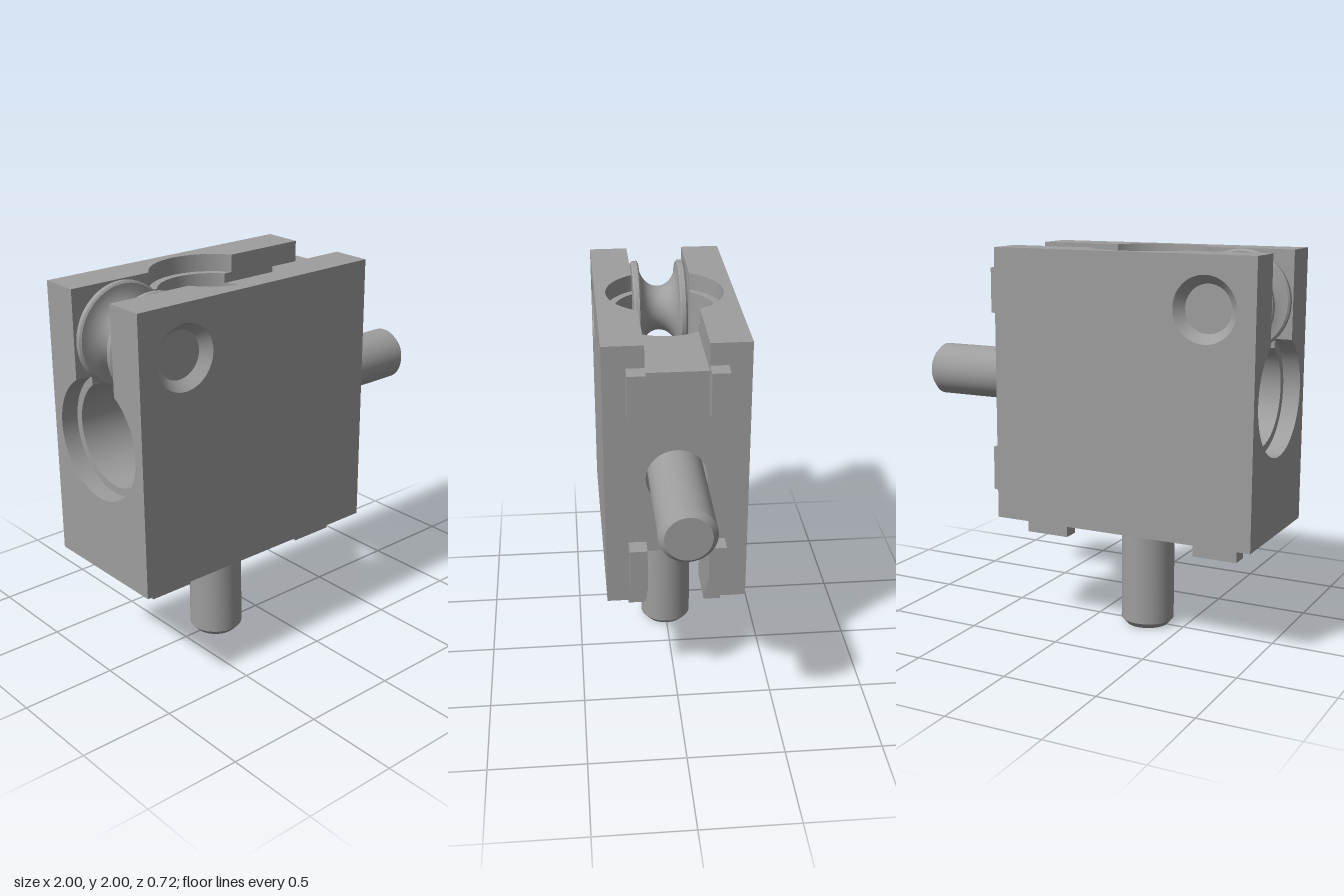
import * as THREE from 'three';
import { toCreasedNormals } from 'three/addons/utils/BufferGeometryUtils.js';
import { ParametricGeometry } from 'three/addons/geometries/ParametricGeometry.js';

const grey = new THREE.MeshStandardMaterial({ color: 0x9e9e9e, side: THREE.DoubleSide });
grey.name = 'grey';

const H = 0.71;      // half size of the square housing
const D = 0.36;      // half thickness
const S = 0.155;     // half width of slots, also rod hole radius
const R = 0.265;     // bore radius
const C = 0.305;     // counterbore radius
const FLOOR = 0.57;  // slot floor, measured from the housing centre
const STEP = 0.62;   // counterbore step
const SEAT = -0.48;  // bore end, where the bolt head sits
const P = 0.24;      // inner edge of the corner pocket
const W = Math.sqrt(R * R - P * P); // half width of the window from bore to pocket
const PULLEY = [-0.45, 0.45];

function add(parent, name, geometry) {
  const mesh = new THREE.Mesh(geometry, grey);
  mesh.name = name;
  parent.add(mesh);
  return mesh;
}

// Flat face across the given axis: 'x' maps (a, b) to (z, y), 'y' to (x, z), 'z' to (x, y)
function face(parent, name, outline, axis, at, holes = []) {
  const shape = outline instanceof THREE.Shape
    ? outline : new THREE.Shape(outline.map(p => new THREE.Vector2(...p)));
  for (const [x, y, r] of holes) shape.holes.push(new THREE.Path().absarc(x, y, r, 0, Math.PI * 2, true));
  const g = new THREE.ShapeGeometry(shape, 40);
  if (axis === 'x') g.rotateY(-Math.PI / 2).translate(at, 0, 0);
  if (axis === 'y') g.rotateX(Math.PI / 2).translate(0, at, 0);
  if (axis === 'z') g.translate(0, 0, at);
  return add(parent, name, g);
}

const rect = (x0, x1, y0, y1) => [[x0, y0], [x1, y0], [x1, y1], [x0, y1]];
const lathe = points =>
  toCreasedNormals(new THREE.LatheGeometry(points.map(p => new THREE.Vector2(...p)), 64), 0.5);
const lerp = THREE.MathUtils.lerp;

// Patch of a turned wall; every rule takes the angle or the position along the wall
function wall(parent, name, a0, a1, radius, low, high, n = 48) {
  add(parent, name, new ParametricGeometry((u, t, out) => {
    const r = radius(t);
    const a = lerp(a0(r), a1(r), u);
    out.set(r * Math.cos(a), lerp(low(a), high(a), t), r * Math.sin(a));
  }, n, 1));
}

// One bolt in its bore, with the face its rod leaves through; axis along y, opening at +y
function boltAssembly(name, slotted) {
  const g = new THREE.Group();
  g.name = name;
  const edge = r => Math.asin(S / r);
  const meet = a => R * Math.abs(Math.cos(a));
  const k = v => () => v;

  // Bore walls, cut where the two bores cross
  for (const s of [1, -1]) {
    const a0 = r => s * edge(r), a1 = r => s * (Math.PI - edge(r));
    wall(g, 'boreSide', a0, a1, k(R), meet, k(STEP));
    wall(g, 'counterboreSide', a0, a1, k(C), k(STEP), k(H));
    wall(g, 'counterboreStep', a0, a1, t => lerp(R, C, t), k(STEP), k(STEP));
  }
  const lo = r => -edge(r);
  wall(g, 'boreOuter', lo, edge, k(R), meet, k(slotted ? FLOOR : STEP));
  if (!slotted) {
    wall(g, 'counterboreOuter', lo, edge, k(C), k(STEP), k(H));
    wall(g, 'counterboreStep', lo, edge, t => lerp(R, C, t), k(STEP), k(STEP));
  }
  const w = Math.asin(W / R);
  wall(g, 'boreLower', k(w), k(2 * Math.PI - w), k(R), k(SEAT), a => -meet(a), 96);
  const seat = new THREE.RingGeometry(S, R, 48, 1, w, 2 * Math.PI - 2 * w);
  add(g, 'boltSeat', seat.rotateX(-Math.PI / 2).translate(0, SEAT, 0));
  wall(g, 'rodHole', k(0), k(2 * Math.PI), k(S), k(-H), k(SEAT));

  // Pocket wall with a window into the bore
  face(g, 'pocketWall', [[-S, -H], [S, -H], [S, -P], [W, -P], [W, SEAT], [-W, SEAT], [-W, -P], [-S, -P]], 'x', P);

  // Outer face around the rod, notched by the corner pocket and, opposite, by the slot
  const far = slotted ? [[-H, D]] : [[-H, D], [-H, S], [-FLOOR, S], [-FLOOR, -S], [-H, -S]];
  face(g, 'rodFace', [[-H, -D], [H, -D], [H, -S], [P, -S], [P, S], [H, S], [H, D], ...far], 'y', -H, [[0, 0, S]]);

  // Locating tabs
  for (const sx of [1, -1]) for (const sz of [1, -1]) {
    add(g, 'tab', new THREE.BoxGeometry(0.236, 0.095, 0.09)).position.set(sx * 0.478, -H - 0.0475, sz * 0.2);
  }

  // Domed head and chamfered rod
  const dome = [[0.13, SEAT], [0.25, SEAT]];
  const top = Math.acos(0.13 / 0.25);
  for (let i = 1; i <= 14; i++) {
    const a = top * i / 14;
    dome.push([0.25 * Math.cos(a), SEAT + 0.25 * Math.sin(a)]);
  }
  add(g, 'boltHead', lathe([...dome, [0, SEAT + 0.25 * Math.sin(top)]]));
  add(g, 'boltRod', lathe([[0, -1.29], [0.113, -1.29], [0.14, -1.26], [0.14, SEAT]]));
  return g;
}

function housing() {
  const g = new THREE.Group();
  g.name = 'housing';
  const c = Math.sqrt(C * C - S * S); // counterbore half width at the slot wall
  const b = Math.sqrt(R * R - S * S); // bore half width at the slot wall
  const e = Math.asin(S / C);

  for (const s of [1, -1]) {
    face(g, 'broadSide', rect(-H, H, -H, H), 'z', s * D, [[...PULLEY, 0.165]]);

    // Top strip with the counterbore notch
    const strip = new THREE.Shape();
    strip.moveTo(-H, S).lineTo(-c, S);
    strip.absarc(0, 0, C, Math.PI - e, e, true);
    strip.lineTo(H, S).lineTo(H, D).lineTo(-H, D);
    const top = face(g, 'topStrip', strip, 'y', H);
    if (s < 0) top.rotation.y = Math.PI, top.geometry.scale(-1, 1, 1);

    // Slot, pulley recess and pocket side walls
    face(g, 'recessWall', [[-H, c], [-STEP, c], [-STEP, b], [-b, b], [-b, STEP], [-c, STEP], [-c, H], [-H, H]], 'z', s * S);
    face(g, 'slotWall', [[b, FLOOR], [H, FLOOR], [H, H], [c, H], [c, STEP], [b, STEP]], 'z', s * S);
    face(g, 'pocketSide', rect(P, H, -H, -P), 'z', s * S);
  }

  // Open end with the round bore mouth and the slot above it
  const end = new THREE.Shape();
  end.moveTo(-D, -H).lineTo(D, -H).lineTo(D, H).lineTo(S, H).lineTo(S, c);
  end.absarc(0, 0, C, Math.PI / 2 - e, Math.PI / 2 + e, true);
  end.lineTo(-S, H).lineTo(-D, H);
  face(g, 'boreEnd', end, 'x', -H);

  // Slot floor
  const a = Math.asin(S / R);
  const floor = new THREE.Shape();
  floor.moveTo(H, -S).lineTo(H, S).lineTo(b, S);
  floor.absarc(0, 0, R, a, -a, true);
  face(g, 'slotFloor', floor, 'y', FLOOR);
  return g;
}

// Grooved wheel on a pin, turned about z
function pulley() {
  const g = new THREE.Group();
  g.name = 'pulley';
  const groove = [];
  for (let i = 0; i <= 24; i++) {
    const a = Math.PI * (i / 24 - 0.5);
    groove.push([0.25 - 0.13 * Math.cos(a), 0.105 * Math.sin(a)]);
  }
  add(g, 'wheel', lathe([[0.05, -0.145], [0.25, -0.145], [0.26, -0.135], [0.26, -0.113],
    ...groove, [0.26, 0.113], [0.26, 0.135], [0.25, 0.145], [0.05, 0.145]]));
  add(g, 'axle', new THREE.CylinderGeometry(0.06, 0.06, 2 * S, 32));
  for (const s of [1, -1]) {
    // Countersink with the pin end inside
    add(g, 'countersink', lathe([[0.165, s * D], [0.12, s * (D - 0.05)], [0, s * (D - 0.05)]]));
  }
  g.rotation.x = Math.PI / 2;
  g.position.set(...PULLEY, 0);
  return g;
}

export function createModel() {
  const model = new THREE.Group();
  model.name = 'cornerBlock';
  const body = new THREE.Group();
  body.name = 'body';
  body.position.set(-0.29, 1.29, 0);
  const sideBolt = boltAssembly('sideBolt', false);
  // Half turn about the diagonal swaps the two bolt axes
  sideBolt.quaternion.setFromAxisAngle(new THREE.Vector3(1, -1, 0).normalize(), Math.PI);
  body.add(housing(), boltAssembly('bottomBolt', true), sideBolt, pulley());
  model.add(body);
  return model;
}
